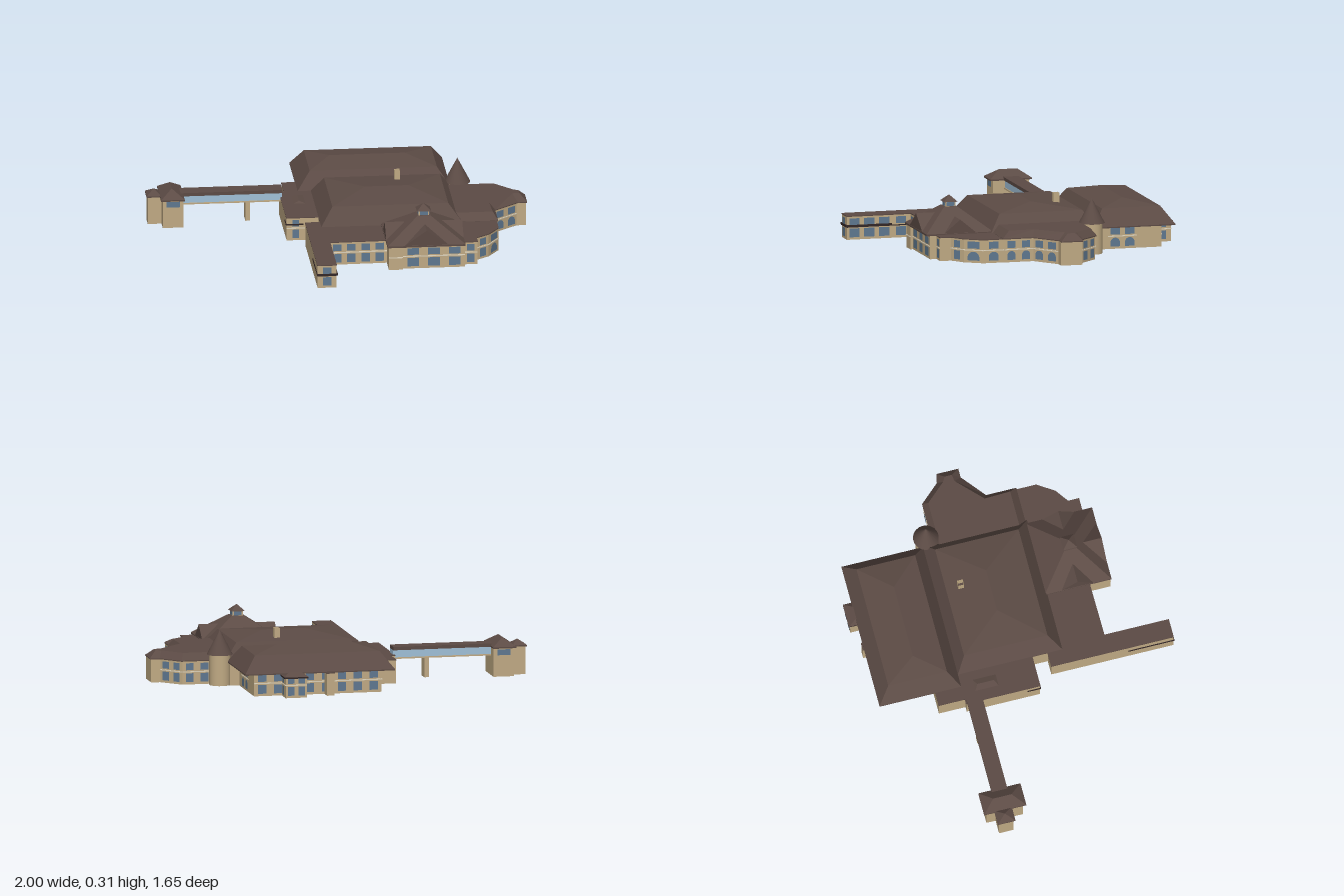
import * as THREE from 'three';

const mat = (name, color, side = THREE.FrontSide) => {
  const m = new THREE.MeshStandardMaterial({ color, side });
  m.name = name;
  return m;
};

export function createModel() {
  const root = new THREE.Group();
  const wall = mat('sandstone wall', 0xc0aa84, THREE.DoubleSide);
  const roof = mat('brown roof', 0x5c4b45);
  const pane = mat('blue window', 0x5f7890);
  const glass = mat('bridge glass', 0xa0c0d8);
  const cream = mat('cream trim', 0xddd2ba);
  const dark = mat('dark ledge', 0x332727);

  const add = (name, geo, material, parent = root) => {
    const m = new THREE.Mesh(geo, material);
    m.name = name;
    parent.add(m);
    return m;
  };
  // Rectangle in plan, corners anticlockwise from above
  const rect = (x0, x1, z0, z1) => [[x0, z1], [x1, z1], [x1, z0], [x0, z0]];
  const box = (name, x0, x1, y0, y1, z0, z1, material) =>
    add(name, new THREE.BoxGeometry(x1 - x0, y1 - y0, z1 - z0), material)
      .position.set((x0 + x1) / 2, (y0 + y1) / 2, (z0 + z1) / 2);

  // Faceted solid lofted through plan outlines at rising heights: [[plan, y], ...]
  const loft = (name, rings, material = roof, capped = true) => {
    const pos = [];
    const tri = (...pts) => pts.forEach(([x, z, y]) => pos.push(x, y, z));
    const at = ([plan, y], i) => [...plan[i % plan.length], y];
    for (let r = 0; r < rings.length - 1; r++) {
      for (let i = 0; i < rings[r][0].length; i++) {
        const a = at(rings[r], i), b = at(rings[r], i + 1);
        const c = at(rings[r + 1], i + 1), d = at(rings[r + 1], i);
        tri(a, b, c);
        tri(a, c, d);
      }
    }
    const cap = (ring, flip) => {
      const v = ring[0].map(([x, z]) => new THREE.Vector2(x, -z));
      if (Math.abs(THREE.ShapeUtils.area(v)) < 1e-6) return;
      for (const [a, b, c] of THREE.ShapeUtils.triangulateShape(v, []))
        tri(...(flip ? [a, c, b] : [a, b, c]).map(i => at(ring, i)));
    };
    if (capped) {
      cap(rings[0], true);
      cap(rings[rings.length - 1], false);
    }
    const geo = new THREE.BufferGeometry();
    geo.setAttribute('position', new THREE.Float32BufferAttribute(pos, 3));
    geo.computeVertexNormals();
    return add(name, geo, material);
  };
  // Hollow walls without floor, and thin flat roofs
  const shell = (name, plan, y0, y1) => loft(name, [[plan, y0], [plan, y1]], wall, false);
  const flatRoof = (name, plan, y = 0.128) => loft(name, [[plan, y - 0.005], [plan, y]]);

  // One window, optionally round-headed, drawn as a flat face
  const windowGeo = (w, h, arched) => {
    const s = new THREE.Shape();
    const r = w / 2;
    s.moveTo(-r, 0);
    s.lineTo(r, 0);
    if (arched) s.absarc(0, h - r, r, 0, Math.PI, false);
    else { s.lineTo(r, h); s.lineTo(-r, h); }
    s.closePath();
    return new THREE.ShapeGeometry(s, 6);
  };

  // Windows in two storeys and a trim line along a wall from a to b (outside on the right)
  const facade = (a, b, n, w = 0.042, arched = false, trim = cream) => {
    const g = new THREE.Group();
    g.name = 'wallWindows';
    const dx = b[0] - a[0], dz = b[1] - a[1], len = Math.hypot(dx, dz);
    g.position.set(a[0], 0, a[1]);
    g.rotation.y = Math.atan2(-dz, dx);
    for (let i = 0; i < n; i++) {
      const x = len * (i + 0.5) / n;
      add('lowerWindow', windowGeo(w, 0.047, arched), pane, g).position.set(x, 0.013, 0.003);
      add('upperWindow', windowGeo(w, 0.037), pane, g).position.set(x, 0.077, 0.003);
    }
    add('trimLine', new THREE.BoxGeometry(len, 0.005, 0.004), trim, g).position.set(len / 2, 0.068, 0.002);
    root.add(g);
  };

  // Continuous outer wall around the whole house
  const outline = [
    [-0.197, 0.82], [-0.097, 0.82], [-0.097, 0.47], [0.205, 0.465], [0.205, 0.58], [0.28, 0.58],
    [0.28, 0.565], [0.61, 0.565], [0.61, 0.53], [0.68, 0.53], [0.68, 0.47], [0.75, 0.42],
    [0.81, 0.33], [0.81, 0.217], [0.814, 0.217], [0.814, 0.057], [0.944, -0.045], [0.994, -0.045],
    [0.994, -0.163], [0.944, -0.171], [0.849, -0.273], [0.61, -0.273], [0.61, -0.36], [0.56, -0.36],
    [0.56, -0.72], [-0.13, -0.72], [-0.13, -0.475], [-0.262, -0.475], [-0.262, -0.33],
    [-0.288, -0.33], [-0.288, 0.07], [-0.12, 0.07], [-0.12, 0.155], [-0.197, 0.155]];
  shell('outerWalls', outline, 0, 0.126);
  // Wall runs with windows: [outline corner, count, width, arched, trim]
  for (const [i, ...style] of [
    [0, 1, 0.045, false, dark], [2, 4, 0.045], [4, 0], [6, 3, 0.062], [8, 1, 0.04], [10, 1, 0.04],
    [11, 1, 0.066, true], [12, 1, 0.054, true], [14, 2, 0.045, true], [15, 2, 0.052, true],
    [19, 2, 0.04], [20, 3, 0.042], [24, 8, 0.045], [25, 3, 0.042]])
    facade(outline[i], outline[i + 1], ...style);
  facade([-0.097, 0.82], [-0.097, 0.575], 3, 0.057, false, dark);
  facade([-0.097, 0.575], [-0.097, 0.475], 1, 0.055, false, dark);
  facade([0.56, -0.425], [0.56, -0.585], 2, 0.053, true);
  facade([-0.288, 0.07], [-0.19, 0.07], 1, 0.035);

  // Mansard roofs of the two main halls
  loft('rearHallRoof', [
    [rect(-0.19, 0.62, -0.78, -0.335), 0.122], [rect(-0.19, 0.62, -0.78, -0.335), 0.128],
    [rect(-0.12, 0.555, -0.715, -0.395), 0.218], [rect(0, 0.4, -0.55, -0.55), 0.246]]);
  loft('frontHallRoof', [
    [rect(-0.12, 0.63, -0.335, 0.235), 0.122], [rect(-0.12, 0.63, -0.335, 0.235), 0.128],
    [rect(-0.055, 0.56, -0.285, 0.17), 0.217], [rect(0.14, 0.37, -0.055, -0.055), 0.243]]);
  shell('chimney', rect(0.31, 0.34, -0.222, -0.19), 0.2, 0.276);

  // Front pavilion roof with three gables and a cupola
  loft('pavilionRoof', [
    [rect(0.198, 0.612, 0.22, 0.585), 0.124], [rect(0.198, 0.612, 0.22, 0.585), 0.133],
    [rect(0.37, 0.44, 0.37, 0.44), 0.248]]);
  loft('frontGable', [[rect(0.285, 0.525, 0.4, 0.584), 0.131], [rect(0.405, 0.405, 0.4, 0.584), 0.215]]);
  loft('sideGable', [[rect(0.2, 0.611, 0.31, 0.49), 0.131], [rect(0.2, 0.611, 0.4, 0.4), 0.205]]);
  box('cupola', 0.377, 0.433, 0.24, 0.275, 0.375, 0.431, wall);
  box('cupolaGlassAcross', 0.384, 0.426, 0.25, 0.27, 0.373, 0.433, pane);
  box('cupolaGlassAlong', 0.375, 0.435, 0.25, 0.27, 0.382, 0.424, pane);
  loft('cupolaRoof', [[rect(0.367, 0.443, 0.365, 0.441), 0.272], [rect(0.405, 0.405, 0.403, 0.403), 0.307]]);

  // Flat roofs: stepped bay, front link, long wing and annexes
  flatRoof('steppedBayRoof', [[0.6, 0.532], [0.682, 0.532], [0.682, 0.472], [0.752, 0.422],
    [0.812, 0.332], [0.812, 0.2], [0.6, 0.2]]);
  flatRoof('frontLinkRoof', [[-0.199, 0.472], [0.21, 0.467], [0.21, 0.153], [-0.199, 0.153]]);
  flatRoof('longWingRoof', rect(-0.199, -0.095, 0.46, 0.822));
  flatRoof('sideAnnexRoof', rect(-0.29, -0.1, -0.335, 0.072));
  flatRoof('rearAnnexRoof', rect(-0.264, -0.12, -0.477, -0.33));
  loft('annexRidge', [[rect(-0.235, -0.165, -0.27, -0.14), 0.127], [rect(-0.2, -0.2, -0.25, -0.16), 0.138]]);

  // Low sloped-edge roof of the angled side wing
  const wing = [[0.6, 0.225], [0.82, 0.225], [0.82, 0.06], [0.95, -0.045], [1, -0.045],
    [1, -0.165], [0.95, -0.175], [0.855, -0.28], [0.6, -0.28]];
  const wingTop = [[0.6, 0.185], [0.795, 0.185], [0.79, 0.045], [0.925, -0.085], [0.962, -0.09],
    [0.962, -0.13], [0.935, -0.145], [0.84, -0.25], [0.6, -0.25]];
  loft('sideWingRoof', [[wing, 0.124], [wing, 0.129], [wingTop, 0.166]]);

  // Round corner turret
  add('turretWall', new THREE.CylinderGeometry(0.056, 0.056, 0.17, 20, 1, true), wall)
    .position.set(0.655, 0.085, -0.31);
  add('turretRoof', new THREE.ConeGeometry(0.069, 0.132, 20), roof).position.set(0.655, 0.229, -0.31);

  // Dark ledges between storeys
  box('longWingLedge', -0.2, -0.09, 0.07, 0.079, 0.575, 0.826, dark);
  box('annexLedge', -0.292, -0.2, 0.085, 0.092, 0.0, 0.075, dark);

  // Rear porches
  shell('rearPorch', rect(0.295, 0.41, -0.815, -0.721), 0, 0.107);
  box('rearPorchLedge', 0.288, 0.417, 0.104, 0.112, -0.825, -0.715, dark);
  loft('rearPorchRoof', [[rect(0.288, 0.417, -0.825, -0.71), 0.112], [rect(0.33, 0.375, -0.76, -0.72), 0.14]]);
  facade([0.41, -0.815], [0.295, -0.815], 2, 0.035);
  facade([0.41, -0.725], [0.41, -0.815], 1, 0.035);
  shell('smallRearBay', rect(0.14, 0.18, -0.785, -0.721), 0, 0.12);
  flatRoof('smallRearBayRoof', rect(0.138, 0.182, -0.787, -0.715), 0.123);

  // Glazed footbridge
  box('bridgeGlass', -0.82, -0.28, 0.112, 0.152, -0.322, -0.252, glass);
  box('bridgeFloor', -0.82, -0.28, 0.105, 0.113, -0.326, -0.248, wall);
  box('bridgeRoof', -0.82, -0.28, 0.152, 0.17, -0.33, -0.245, roof);
  box('bridgePillar', -0.475, -0.45, 0, 0.107, -0.32, -0.255, wall);

  // Stair tower at the end of the bridge
  shell('towerWalls', rect(-0.92, -0.81, -0.385, -0.185), 0, 0.155);
  shell('towerStair', rect(-0.993, -0.92, -0.335, -0.255), 0, 0.155);
  loft('towerRoof', [[rect(-0.93, -0.805, -0.4, -0.17), 0.152],
    [rect(-0.93, -0.805, -0.4, -0.17), 0.16], [rect(-0.868, -0.868, -0.335, -0.235), 0.203]]);
  loft('stairRoof', [[rect(-1, -0.92, -0.343, -0.247), 0.15],
    [rect(-1, -0.92, -0.343, -0.247), 0.157], [rect(-0.958, -0.958, -0.295, -0.295), 0.185]]);
  for (const [z, turn] of [[-0.182, 0], [-0.388, Math.PI]]) {
    const w = add('towerWindow', windowGeo(0.07, 0.031), pane);
    w.position.set(-0.865, 0.115, z);
    w.rotation.y = turn;
  }

  return root;
}
